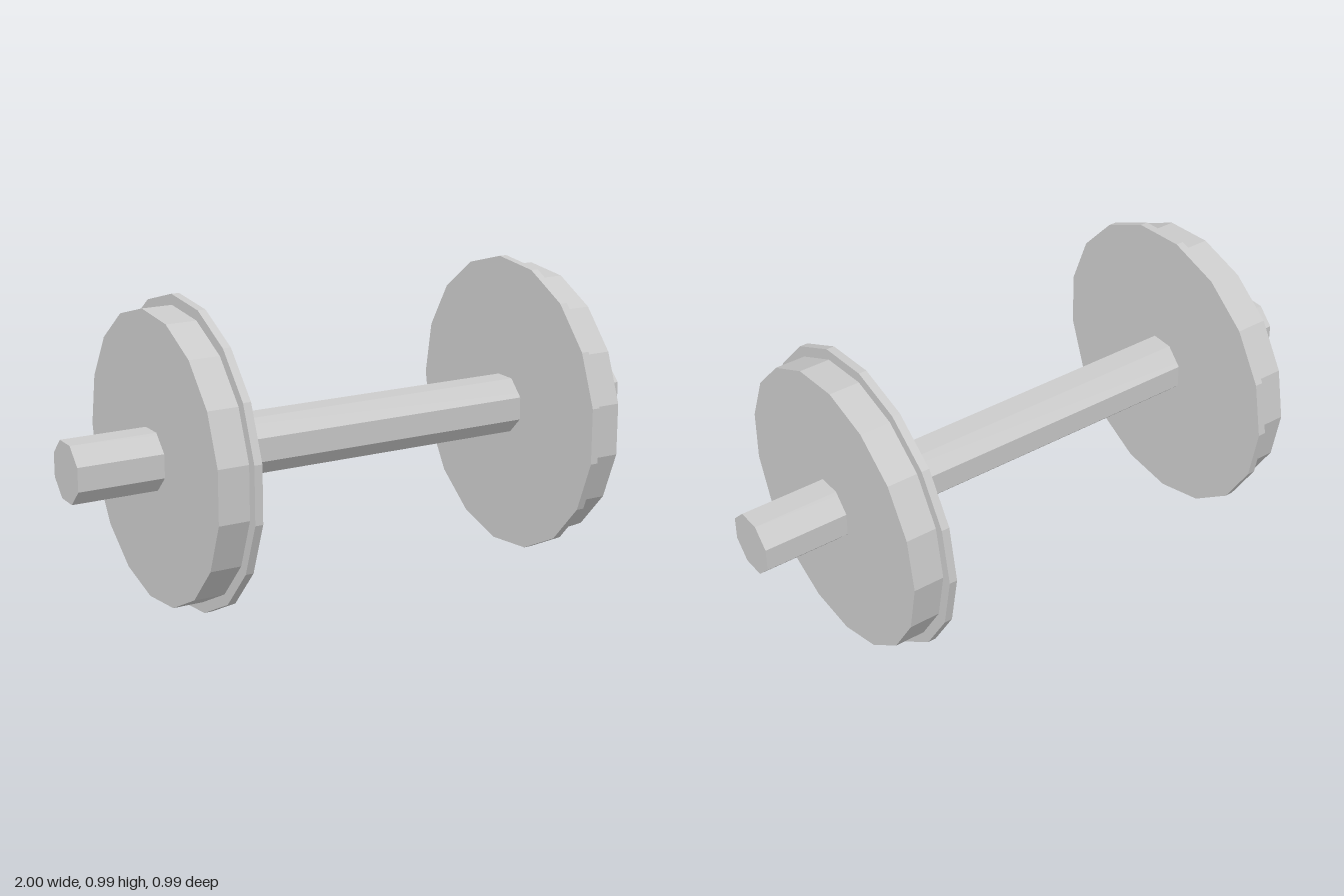
import * as THREE from 'three';

const material = new THREE.MeshStandardMaterial({ color: 0xcccccc, flatShading: true });

// Faceted disc or bar lying along x, spanning x0 to x1
function drum(name, radius, sides, start, x0, x1) {
  const geometry = new THREE.CylinderGeometry(radius, radius, Math.abs(x1 - x0), sides, 1, false, start);
  geometry.rotateZ(-Math.PI / 2);
  const mesh = new THREE.Mesh(geometry, material);
  mesh.name = name;
  mesh.position.x = (x0 + x1) / 2;
  return mesh;
}

export function createModel() {
  const model = new THREE.Group();
  model.name = 'wheelset';

  const assembly = new THREE.Group();
  assembly.name = 'axleAndWheels';
  assembly.position.set(0, 0.498, 0.004);
  model.add(assembly);

  // Octagonal axle through both wheels
  assembly.add(drum('axle', 0.1, 8, Math.PI / 8, -1, 1));

  // Mirrored wheels: wide tread outside, thin taller flange inside
  for (const [side, s] of [['left', 1], ['right', -1]]) {
    const wheel = new THREE.Group();
    wheel.name = side + 'Wheel';
    wheel.add(
      drum('flange', 0.499, 17, Math.PI, s * 0.591, s * 0.617),
      drum('tread', 0.465, 17, Math.PI, s * 0.617, s * 0.718)
    );
    assembly.add(wheel);
  }
  return model;
}
